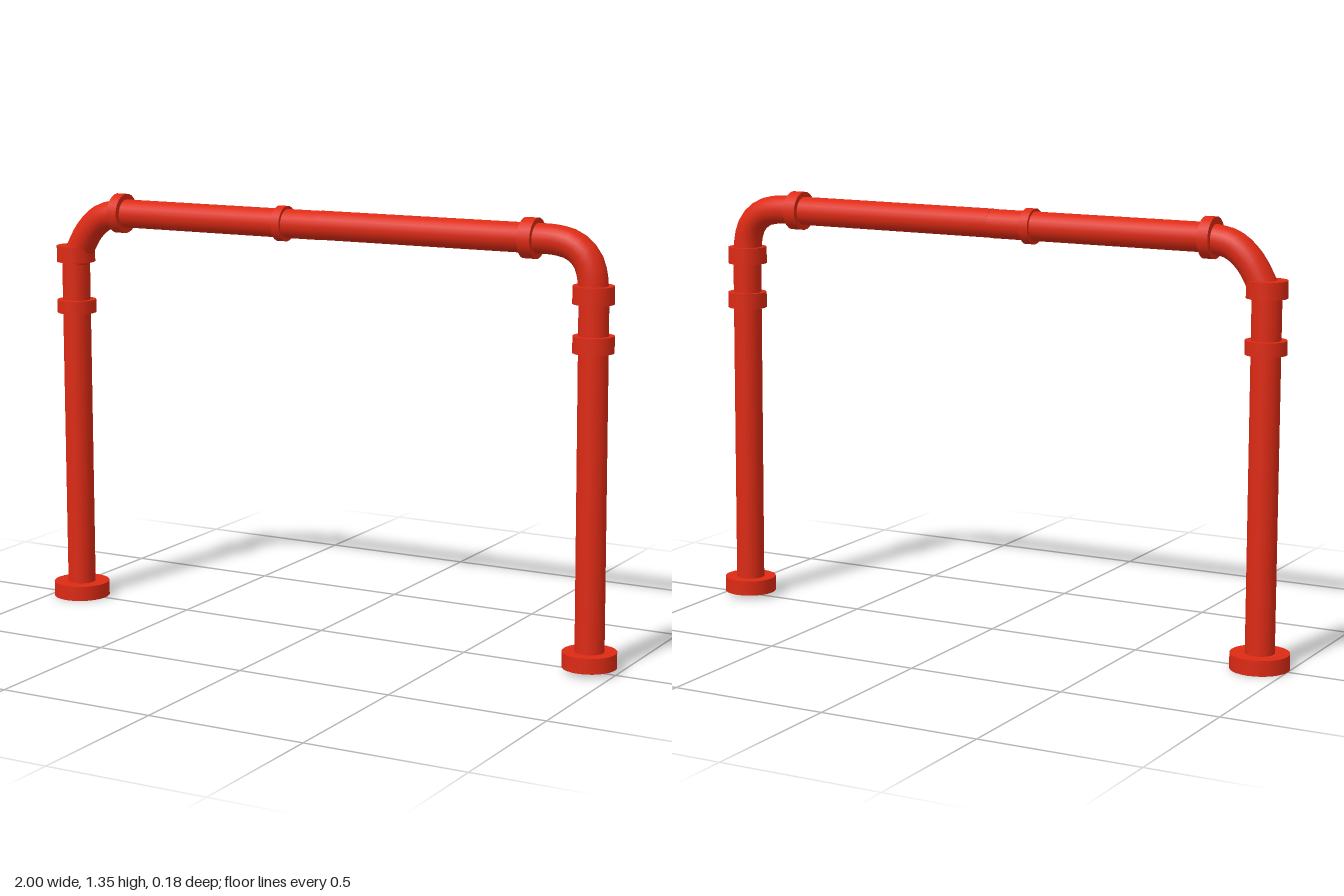
import * as THREE from 'three';

const SIDES = 24;
const PIPE_R = 0.045;

export function createModel() {
  const group = new THREE.Group();
  const red = new THREE.MeshStandardMaterial({ color: 0xdd2a14 });
  const up = new THREE.Vector3(0, 1, 0);

  const add = (name, geometry) => {
    const mesh = new THREE.Mesh(geometry, red);
    mesh.name = name;
    group.add(mesh);
    return mesh;
  };

  // Closed cylinder between two points [x, y]
  const rod = (name, a, b, radius) => {
    const from = new THREE.Vector3(a[0], a[1], 0);
    const to = new THREE.Vector3(b[0], b[1], 0);
    const axis = to.clone().sub(from);
    const mesh = add(name, new THREE.CylinderGeometry(radius, radius, axis.length(), SIDES));
    mesh.position.copy(from).add(to).multiplyScalar(0.5);
    mesh.quaternion.setFromUnitVectors(up, axis.normalize());
  };

  // Bent pipe through a few points [x, y]
  const elbow = (name, points) => {
    const path = new THREE.CatmullRomCurve3(points.map(([x, y]) => new THREE.Vector3(x, y, 0)));
    add(name, new THREE.TubeGeometry(path, 12, PIPE_R, SIDES));
  };

  // Right side: straight leg
  rod('rightBaseFlange', [-0.91, 0], [-0.91, 0.048], 0.091);
  rod('rightLeg', [-0.91, 0.02], [-0.91, 1.14], PIPE_R);
  rod('rightLowerCollar', [-0.91, 0.949], [-0.91, 0.991], 0.063);
  rod('rightUpperCollar', [-0.91, 1.115], [-0.91, 1.167], 0.062);
  elbow('rightElbow', [[-0.908, 1.12], [-0.888, 1.165], [-0.852, 1.222], [-0.8, 1.264], [-0.72, 1.281]]);

  // Left side: slightly leaning leg
  rod('leftBaseFlange', [0.915, 0.014], [0.9145, 0.062], 0.083);
  rod('leftLeg', [0.915, 0.03], [0.905, 1.14], PIPE_R);
  rod('leftLowerCollar', [0.907, 0.963], [0.9065, 1.013], 0.062);
  rod('leftUpperCollar', [0.904, 1.107], [0.904, 1.16], 0.062);
  elbow('leftElbow', [[0.904, 1.12], [0.899, 1.19], [0.88, 1.238], [0.84, 1.272], [0.785, 1.286], [0.69, 1.287]]);

  // Crossbar and its collars
  rod('crossbarRightSection', [-0.73, 1.281], [0, 1.283], PIPE_R);
  rod('crossbarLeftSection', [0, 1.284], [0.71, 1.287], PIPE_R);
  rod('crossbarRightCollar', [-0.746, 1.281], [-0.712, 1.281], 0.063);
  rod('crossbarMiddleCollar', [-0.149, 1.282], [-0.12, 1.282], 0.055);
  rod('crossbarLeftCollar', [0.683, 1.287], [0.724, 1.287], 0.061);

  return group;
}
